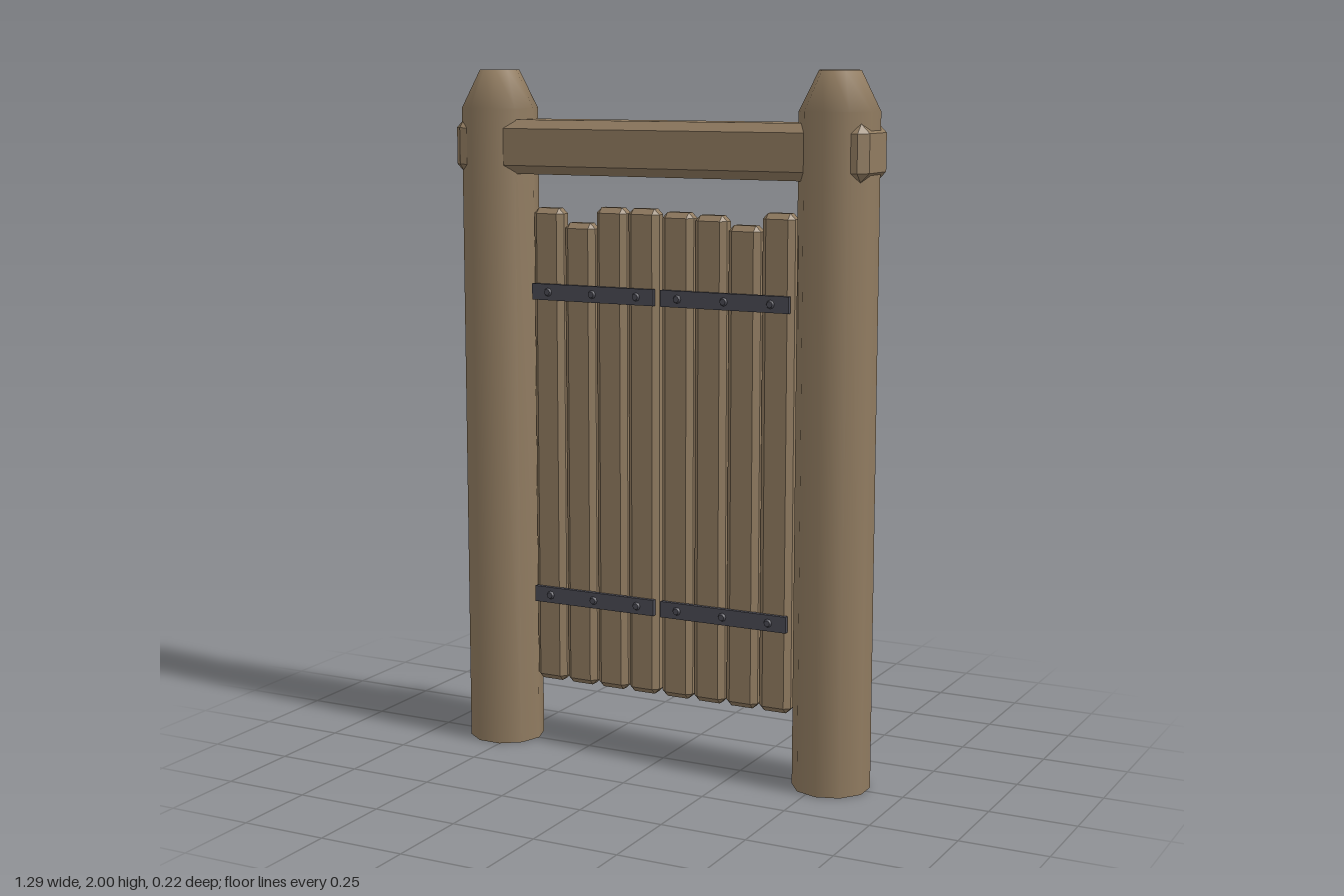
import * as THREE from 'three';
import { ConvexGeometry } from 'three/addons/geometries/ConvexGeometry.js';

// Box with every edge chamfered by c
function chamferBox(w, h, d, c) {
  const pts = [];
  const [x, y, z] = [w / 2, h / 2, d / 2];
  for (const i of [-1, 1]) for (const j of [-1, 1]) for (const k of [-1, 1]) {
    pts.push(
      new THREE.Vector3(i * x, j * (y - c), k * (z - c)),
      new THREE.Vector3(i * (x - c), j * y, k * (z - c)),
      new THREE.Vector3(i * (x - c), j * (y - c), k * z)
    );
  }
  return new ConvexGeometry(pts);
}

export function createModel() {
  const group = new THREE.Group();
  // Double-sided because the posts are open underneath
  const wood = new THREE.MeshStandardMaterial({ name: 'wood', color: 0x907b60, side: THREE.DoubleSide });
  const iron = new THREE.MeshStandardMaterial({ name: 'iron', color: 0x4a4a53 });

  function add(parent, name, geometry, material, x, y, z) {
    const mesh = new THREE.Mesh(geometry, material);
    mesh.name = name;
    mesh.position.set(x, y, z);
    parent.add(mesh);
    return mesh;
  }

  // Ten-sided posts with tapered tops, open underneath
  const profile = [[0.111, 0], [0.111, 1.89], [0.057, 2], [0, 2]].map(p => new THREE.Vector2(...p));
  add(group, 'rightPost', new THREE.LatheGeometry(profile, 10, Math.PI / 10), wood, -0.535, 0, 0);
  add(group, 'leftPost', new THREE.LatheGeometry(profile, 10, 0), wood, 0.533, 0, 0);

  // Lintel running through both posts
  add(group, 'lintel', chamferBox(1.29, 0.155, 0.172, 0.025), wood, 0, 1.781, 0);

  // Two gate leaves, four planks each
  const plankTops = [[1.605, 1.565, 1.612, 1.612], [1.605, 1.6, 1.575, 1.612]];
  const bottom = 0.195;
  plankTops.forEach((tops, side) => {
    const leaf = new THREE.Group();
    leaf.name = side ? 'leftGateLeaf' : 'rightGateLeaf';
    leaf.position.x = side ? 0.207 : -0.212;
    group.add(leaf);

    tops.forEach((top, i) => add(leaf, 'plank', chamferBox(0.098, top - bottom, 0.056, 0.016),
      wood, (i - 1.5) * 0.1035, (top + bottom) / 2, -0.002));

    // Back ledgers and the diagonal brace
    for (const y of [1.43, 0.91, 0.41]) {
      add(leaf, 'ledger', chamferBox(0.34, 0.092, 0.066, 0.02), wood, 0, y, -0.062);
    }
    const brace = add(leaf, 'brace', chamferBox(0.056, 0.47, 0.05, 0.014), wood, -0.005, 0.665, -0.05);
    brace.rotation.z = -Math.atan2(0.28, 0.375);

    // Front iron straps with rivets
    for (const y of [1.363, 0.46]) {
      add(leaf, 'strap', new THREE.BoxGeometry(0.396, 0.047, 0.014), iron, 0, y, 0.031);
      for (const x of [-0.145, 0, 0.143]) {
        const rivet = new THREE.CylinderGeometry(0.009, 0.013, 0.008, 8).rotateX(Math.PI / 2);
        add(leaf, 'rivet', rivet, iron, x, y, 0.041);
      }
    }
  });

  return group;
}
